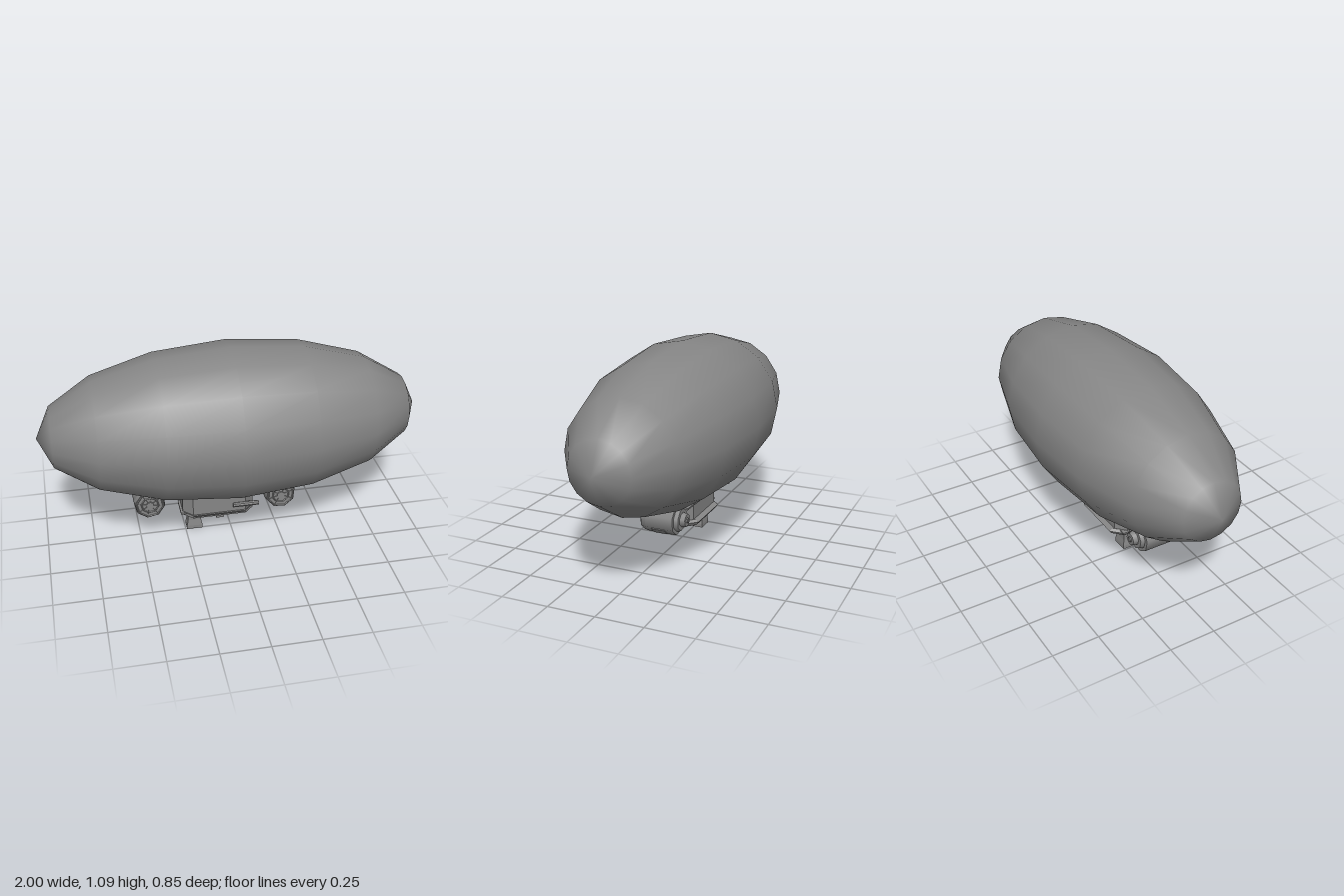
import * as THREE from 'three';
import { ConvexGeometry } from 'three/addons/geometries/ConvexGeometry.js';

const smooth = new THREE.MeshStandardMaterial({ color: 0x868686 });
const flat = new THREE.MeshStandardMaterial({ color: 0x868686, flatShading: true });

function add(parent, name, geometry, x = 0, y = 0, z = 0, material = flat) {
  const mesh = new THREE.Mesh(geometry, material);
  mesh.name = name;
  mesh.position.set(x, y, z);
  parent.add(mesh);
  return mesh;
}

const box = (w, h, d) => new THREE.BoxGeometry(w, h, d);

// Eight-sided drum with its axis along z; r1 is the front radius
function drum(r1, r2, length) {
  return new THREE.CylinderGeometry(r1, r2, length, 8).rotateY(Math.PI / 8).rotateX(Math.PI / 2);
}

// Solid with chamfered corners in plan; each layer is [y, x0, x1, z0, z1, chamfer]
function chamfered(layers) {
  const points = [];
  for (const [y, x0, x1, z0, z1, c] of layers) {
    for (const [x, sx] of [[x0, 1], [x1, -1]]) {
      for (const [z, sz] of [[z0, 1], [z1, -1]]) {
        points.push(new THREE.Vector3(x + sx * c, y, z), new THREE.Vector3(x, y, z + sz * c));
      }
    }
  }
  return new ConvexGeometry(points);
}

// Engine pod: drum with spoked front and stepped rear hub
function enginePod(x, y, tilt) {
  const pod = new THREE.Group();
  pod.name = 'enginePod';
  pod.position.set(x, y, 0);
  pod.rotation.z = tilt;
  add(pod, 'podShell', drum(0.085, 0.085, 0.152), 0, 0, -0.016, smooth);
  add(pod, 'podFrontRim', drum(0.08, 0.085, 0.026), 0, 0, 0.073, smooth);
  add(pod, 'podRearCollar', drum(0.066, 0.06, 0.022), 0, 0, -0.103, smooth);
  add(pod, 'podRearHub', drum(0.038, 0.034, 0.028), 0, 0, -0.127, smooth);
  add(pod, 'podRearCap', drum(0.016, 0.012, 0.006), 0, 0, -0.143, smooth);
  // Front grille
  add(pod, 'frontHub', drum(0.02, 0.022, 0.008), 0, 0, 0.088);
  for (const r of [0.046, 0.072]) {
    const ring = new THREE.TorusGeometry(r, 0.004, 4, 8).rotateZ(Math.PI / 8);
    add(pod, 'frontRing', ring, 0, 0, 0.087);
  }
  for (let i = 0; i < 8; i++) {
    const a = (i + 0.5) * Math.PI / 4;
    const spoke = add(pod, 'frontSpoke', box(0.055, 0.004, 0.008), Math.cos(a) * 0.047, Math.sin(a) * 0.047, 0.086);
    spoke.rotation.z = a;
  }
  // Service hatch on the lower outer facet
  const hatch = add(pod, 'podHatch', box(0.01, 0.055, 0.075), 0.055, -0.055, -0.008);
  hatch.rotation.z = -Math.PI / 4;
  return pod;
}

export function createModel() {
  const model = new THREE.Group();
  model.name = 'airship';

  // Gas envelope with its poles along x
  const hull = new THREE.SphereGeometry(1, 16, 8).rotateZ(Math.PI / 2);
  add(model, 'envelope', hull, 0, 0.671, 0, smooth).scale.set(1, 0.416, 0.425);

  // Cabin and its belly tray, which flares outward to the rear
  const cabin = new THREE.Group();
  cabin.name = 'cabin';
  model.add(cabin);
  add(cabin, 'cabinBody', chamfered([
    [0.12, -0.268, 0.12, -0.095, 0.078, 0.05],
    [0.285, -0.268, 0.12, -0.095, 0.078, 0.05],
  ]));
  add(cabin, 'bellyTray', chamfered([
    [0.11, -0.26, 0.112, -0.108, 0.058, 0.05],
    [0.13, -0.268, 0.12, -0.122, 0.08, 0.055],
    [0.142, -0.268, 0.12, -0.102, 0.088, 0.055],
  ]));
  add(cabin, 'sternLip', box(0.13, 0.01, 0.12), -0.215, 0.136, -0.015);
  add(cabin, 'bellySensor', box(0.042, 0.03, 0.03), -0.07, 0.117, 0.055);

  // Side tube on the cabin front
  const tube = new THREE.CylinderGeometry(0.013, 0.013, 0.14, 8).rotateZ(Math.PI / 2);
  add(cabin, 'sideTube', tube, 0.07, 0.182, 0.083);
  add(cabin, 'sideTubeBracket', box(0.09, 0.012, 0.02), 0.05, 0.182, 0.078);

  // Landing leg: waisted column with square sections
  const leg = new THREE.LatheGeometry([
    [0, 0], [0.043, 0], [0.043, 0.02], [0.036, 0.055], [0.036, 0.085], [0.046, 0.118], [0, 0.118],
  ].map(([r, y]) => new THREE.Vector2(r * Math.SQRT2, y)), 4).rotateY(Math.PI / 4);
  add(model, 'landingLeg', leg, -0.2, 0, -0.023).scale.z = 0.65;

  // Engine pods
  model.add(enginePod(0.262, 0.218, -0.08), enginePod(-0.45, 0.246, 0.2));

  // Thin rear struts carrying the pods, tucked under the envelope
  for (const [x0, y0, x1, y1] of [[-0.42, 0.305, -0.26, 0.28], [0.08, 0.272, 0.26, 0.28]]) {
    const strut = add(model, 'podStrut', box(Math.hypot(x1 - x0, y1 - y0), 0.01, 0.035),
      (x0 + x1) / 2, (y0 + y1) / 2, -0.125);
    strut.rotation.set(-0.2, 0, Math.atan2(y1 - y0, x1 - x0));
  }
  return model;
}
